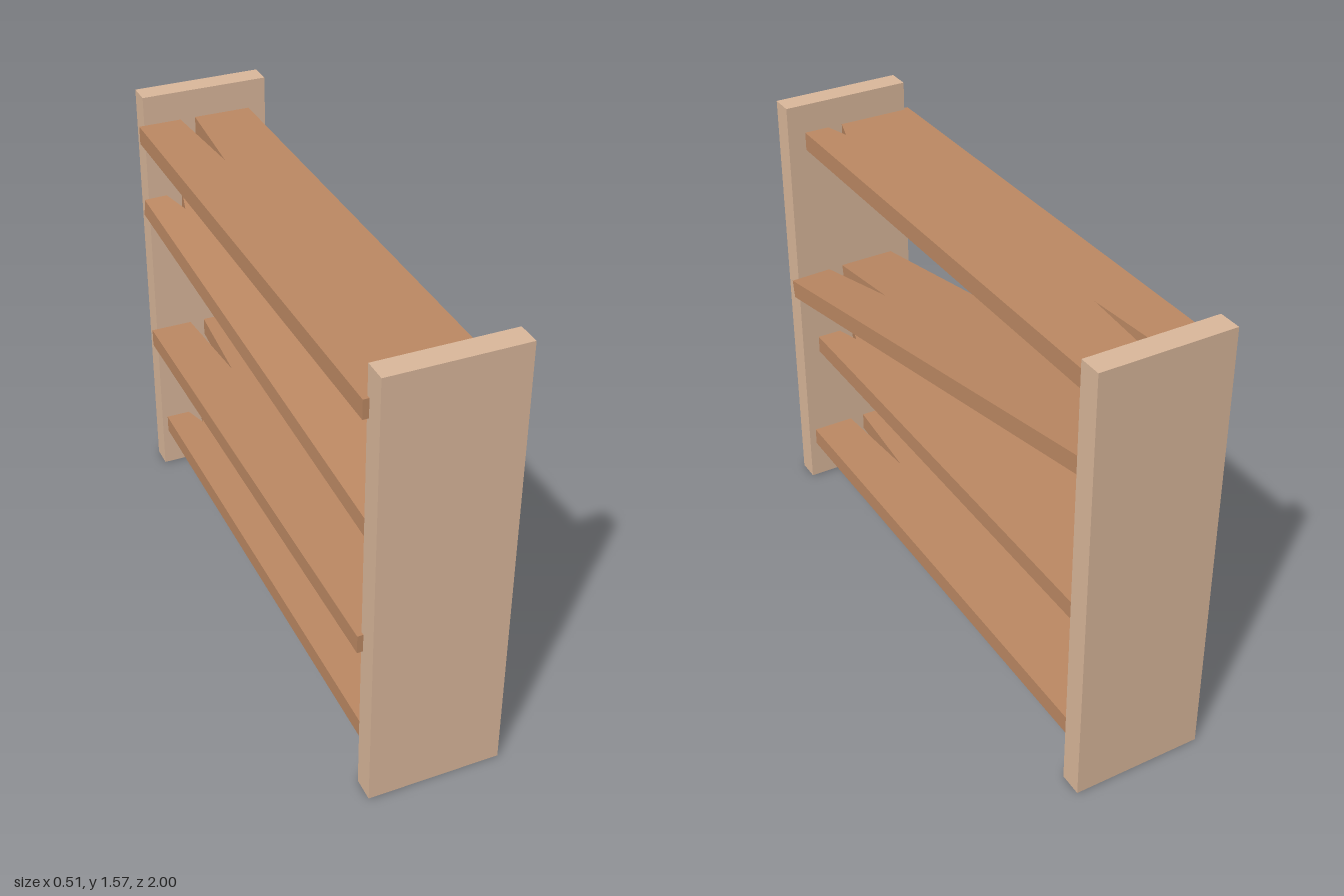
import * as THREE from 'three';

const postMaterial = new THREE.MeshStandardMaterial({ color: 0xdcb99c, flatShading: true });
const plankMaterial = new THREE.MeshStandardMaterial({ color: 0xbe8a64, flatShading: true });

const THICK = 0.065;
const HALF_WIDTH = 0.205;

// Plank outline with a long split in the back end and a short one in the front end
function plankGeometry() {
  const back = -0.925, front = 0.925;
  const outline = [
    [-HALF_WIDTH, back], [-0.052, back], [-0.025, -0.555], [0.002, back], [HALF_WIDTH, back],
    [HALF_WIDTH, front], [0.12, front], [0.09, 0.825], [0.06, front], [-HALF_WIDTH, front],
  ].map(([x, z]) => new THREE.Vector2(x, z));
  const geometry = new THREE.ExtrudeGeometry(new THREE.Shape(outline), { depth: THICK, bevelEnabled: false });
  geometry.rotateX(Math.PI / 2);
  geometry.translate(0, THICK / 2, 0);
  return geometry;
}

export function createModel() {
  const fence = new THREE.Group();
  fence.name = 'fence';

  // Upright end posts
  for (const [name, z] of [['frontPost', 0.96], ['backPost', -0.96]]) {
    const post = new THREE.Mesh(new THREE.BoxGeometry(0.455, 1.565, 0.08), postMaterial);
    post.name = name;
    post.position.set(-0.003, 0.7825, z);
    fence.add(post);
  }

  // Cross planks: some turned end for end, one hanging crooked
  const geometry = plankGeometry();
  const planks = [
    { name: 'bottomPlank', at: [-0.005, 0.183, -0.008], turned: true },
    { name: 'lowerPlank', at: [-0.045, 0.595, 0.008] },
    { name: 'crookedPlank', at: [0, 1.014, 0], turned: true, tilt: [0.153, 0.053, -0.012] },
    { name: 'topPlank', at: [-0.045, 1.43, 0.008] },
  ];
  for (const { name, at, turned = false, tilt = [0, 0, 0] } of planks) {
    const holder = new THREE.Group();
    holder.name = name;
    holder.position.set(...at);
    holder.rotation.set(...tilt);
    const plank = new THREE.Mesh(geometry, plankMaterial);
    plank.name = name + 'Board';
    if (turned) plank.rotation.y = Math.PI;
    holder.add(plank);
    fence.add(holder);
  }
  return fence;
}
